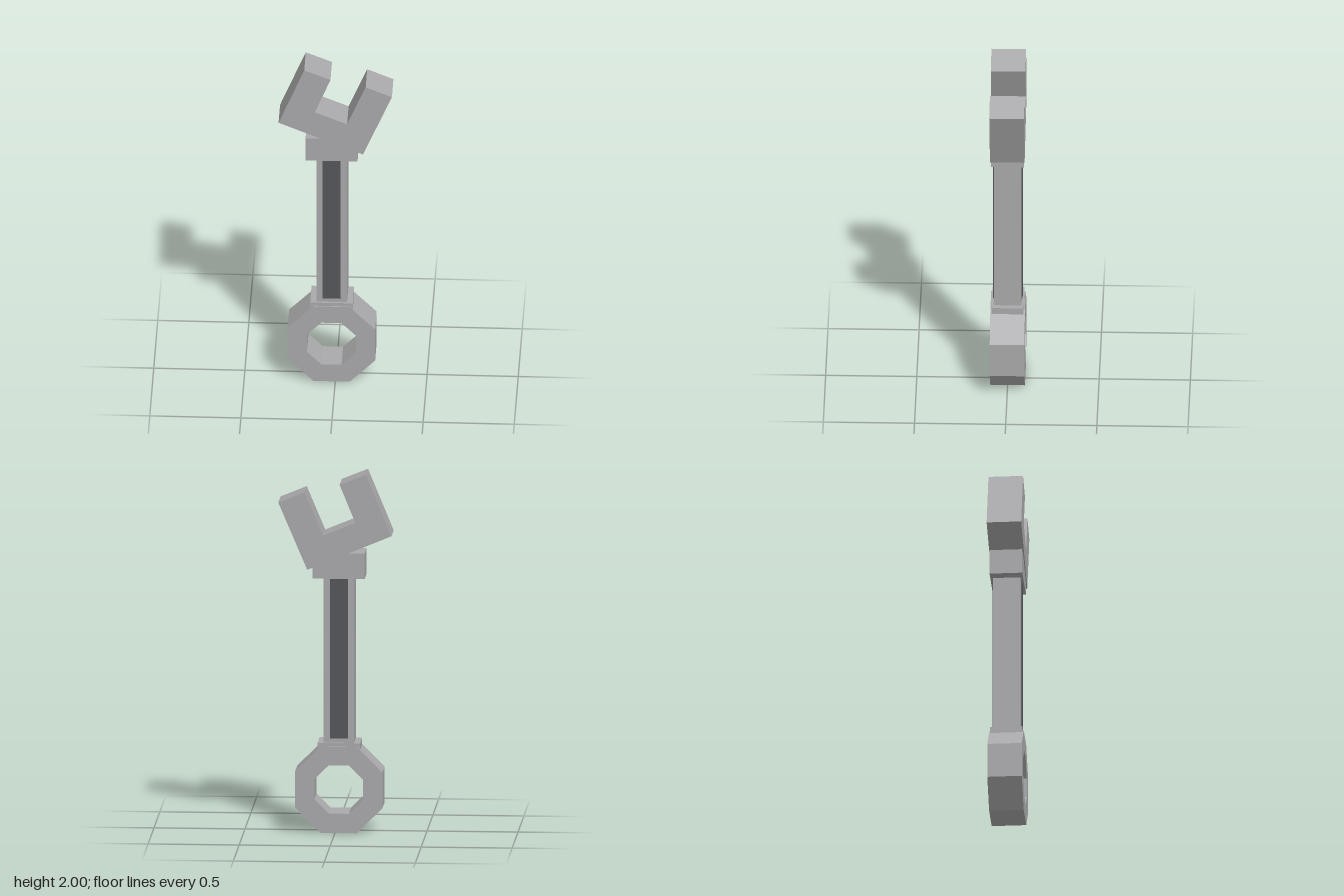
import * as THREE from 'three';

export function createModel() {
  const steel = new THREE.MeshStandardMaterial({ color: 0xa9a9ab });
  steel.name = 'steel grey';
  const dark = new THREE.MeshStandardMaterial({ color: 0x55565b });
  dark.name = 'dark inlay grey';

  const model = new THREE.Group();
  model.name = 'wrench';

  function add(name, geometry, material) {
    const mesh = new THREE.Mesh(geometry, material);
    mesh.name = name;
    model.add(mesh);
    return mesh;
  }

  // Box given by its x, y and z limits
  function box(name, x0, x1, y0, y1, z0, z1, material = steel) {
    const mesh = add(name, new THREE.BoxGeometry(x1 - x0, y1 - y0, z1 - z0), material);
    mesh.position.set((x0 + x1) / 2, (y0 + y1) / 2, (z0 + z1) / 2);
  }

  // Flat outline extruded evenly about z = 0
  function slab(name, shape, half) {
    const geometry = new THREE.ExtrudeGeometry(shape, { depth: 2 * half, bevelEnabled: false });
    geometry.translate(0, 0, -half);
    add(name, geometry, steel);
  }

  // Octagon corners with flat sides at the given distance from the centre
  function octagon(cx, cy, apothem) {
    const r = apothem / Math.cos(Math.PI / 8);
    return Array.from({ length: 8 }, (_, i) => {
      const a = (i + 0.5) * Math.PI / 4;
      return new THREE.Vector2(cx + r * Math.cos(a), cy + r * Math.sin(a));
    });
  }

  // Closed ring end
  const ring = new THREE.Shape(octagon(-0.021, 0.243, 0.24));
  ring.holes.push(new THREE.Path(octagon(-0.021, 0.245, 0.134)));
  slab('ringEnd', ring, 0.095);

  // Handle with its collars
  box('lowerCollar', -0.138, 0.096, 0.40, 0.503, -0.088, 0.088);
  box('handle', -0.104, 0.064, 0.45, 1.45, -0.076, 0.076);
  box('upperCollar', -0.163, 0.122, 1.418, 1.56, -0.09, 0.09);

  // Dark inlay strips on both faces of the handle
  box('frontInlay', -0.07, 0.029, 0.527, 1.418, 0.074, 0.081, dark);
  box('backInlay', -0.07, 0.029, 0.527, 1.418, -0.081, -0.074, dark);

  // Tilted open jaw, one prong slightly longer
  const jaw = new THREE.Shape([
    [-0.311, 1.659], [0.152, 1.467], [0.311, 1.84], [0.167, 1.9],
    [0.065, 1.659], [-0.112, 1.732], [-0.026, 1.942], [-0.17, 2],
  ].map(([x, y]) => new THREE.Vector2(x, y)));
  slab('openJaw', jaw, 0.095);

  return model;
}
